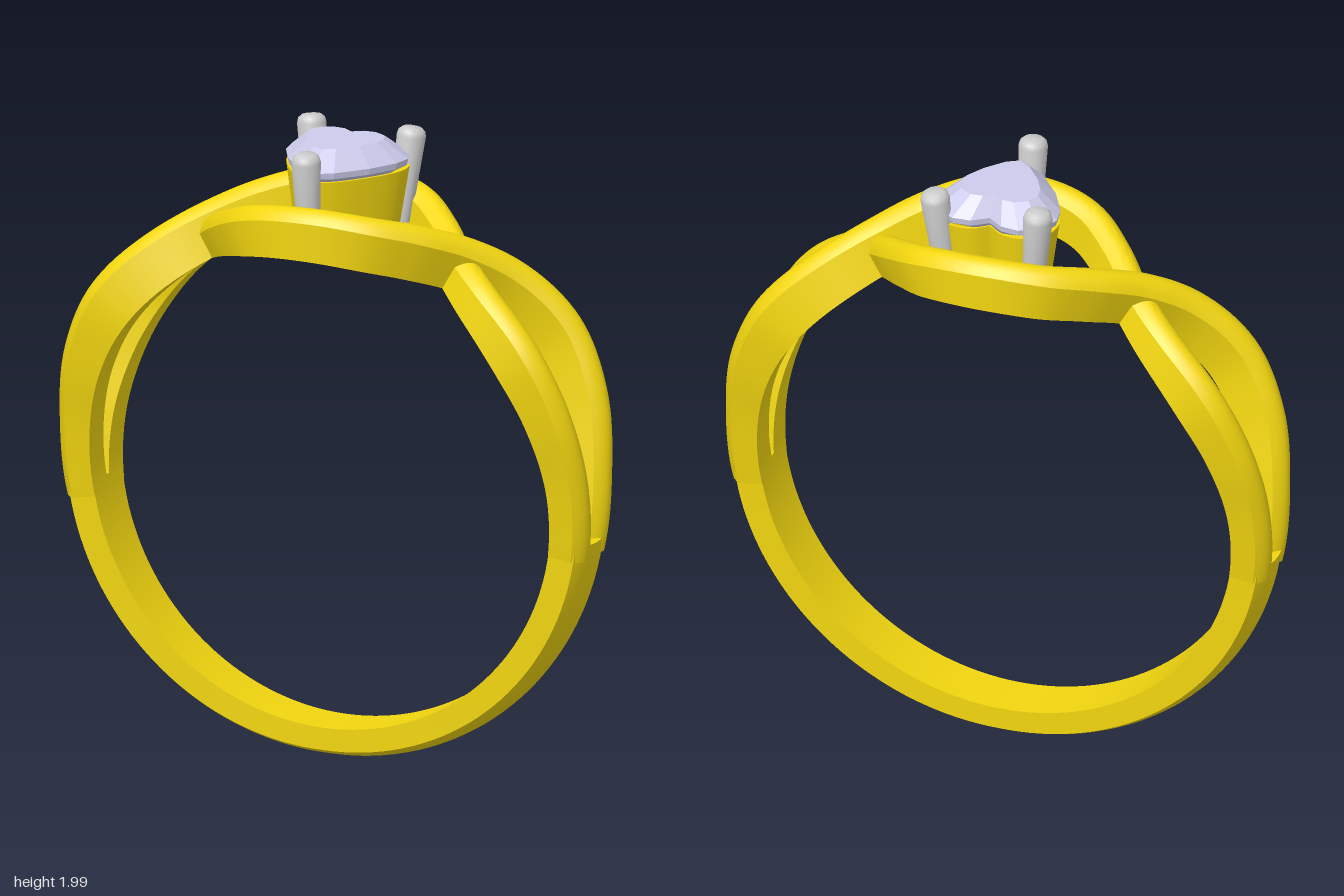
import * as THREE from 'three';
import { toCreasedNormals } from 'three/addons/utils/BufferGeometryUtils.js';

const CENTER_Y = 0.89, INNER_R = 0.785, MID_R = 0.87;
const rad = THREE.MathUtils.degToRad;

const gold = new THREE.MeshStandardMaterial({ color: 0xf2d60f });
const grey = new THREE.MeshStandardMaterial({ color: 0xcccccc });
const gemMaterial = new THREE.MeshStandardMaterial({ color: 0xccccec, flatShading: true });

// Skin over rows of points; every row is a closed loop
function skin(rows, crease = 0.6) {
  const n = rows[0].length, index = [];
  for (let i = 0; i < rows.length - 1; i++) {
    for (let j = 0; j < n; j++) {
      const k = (j + 1) % n;
      const a = i * n + j, b = i * n + k, c = a + n, d = b + n;
      index.push(a, b, d, a, d, c);
    }
  }
  const g = new THREE.BufferGeometry();
  g.setAttribute('position', new THREE.Float32BufferAttribute(rows.flat(2), 3));
  g.setIndex(index);
  return toCreasedNormals(g, crease);
}

// Domed bar bent round the finger; at(t) gives angle, z, outer radius, half width
function bar(at, steps, dome) {
  const rows = [];
  const place = (phi, r, z) => [r * Math.sin(phi), CENTER_Y + r * Math.cos(phi), z];
  for (let i = 0; i <= steps; i++) {
    const t = i / steps, p = at(t);
    const p0 = at(Math.max(0, t - 0.004)), p1 = at(Math.min(1, t + 0.004));
    const dir = new THREE.Vector2((p1.phi - p0.phi) * MID_R, p1.z - p0.z).normalize();
    const point = (s, r) => place(p.phi - (s * dir.y) / MID_R, r, p.z + s * dir.x);
    const row = [];
    for (let k = 0; k <= 10; k++) {
      const u = k / 5 - 1;
      row.push(point(u * p.w, p.outer - dome * u * u));
    }
    row.push(point(p.w, INNER_R), point(-p.w, INNER_R));
    const cap = row.map(() => point(0, (INNER_R + p.outer) / 2));
    if (i === 0) rows.push(cap);
    rows.push(row);
    if (i === steps) rows.push(cap);
  }
  return skin(rows);
}

// Heart outline, mirrored from its right half, as [x, z] from the tip round
function heart(half, samples) {
  let pts = half;
  if (samples) {
    const curve = new THREE.CatmullRomCurve3(half.map(([x, z]) => new THREE.Vector3(x, 0, z)));
    pts = curve.getPoints(samples).map((p) => [p.x, p.z]);
  }
  return [...pts, ...pts.slice(1, -1).reverse().map(([x, z]) => [-x, z])];
}

// Loft of one outline through [scale, y] steps
function loft(outline, profile) {
  const cz = -0.03;
  return profile.map(([s, y]) => outline.map(([x, z]) => [x * s, y, cz + (z - cz) * s]));
}

function mesh(name, geometry, material) {
  const m = new THREE.Mesh(geometry, material);
  m.name = name;
  return m;
}

export function createModel() {
  const ring = new THREE.Group();
  ring.name = 'ring';

  // Lower band
  ring.add(mesh('shank', bar((t) => {
    const side = Math.abs(2 * t - 1);
    return {
      phi: rad(96 + 168 * t), z: 0,
      outer: 0.885 + 0.015 * side, w: 0.085 + 0.021 * side ** 2,
    };
  }, 72, 0.028), gold));

  // Two woven strands: [angle, z, radius where it runs over, radius where it runs under]
  const path = [
    [0, 0.257, 0.942, 0.942], [12, 0.218, 0.946, 0.935], [21, 0.122, 0.95, 0.918],
    [30, 0, 0.952, 0.905], [40, -0.093, 0.955, 0.915], [53, -0.139, 0.958, 0.93],
    [67, -0.124, 0.938, 0.92], [83, -0.085, 0.908, 0.905], [99, -0.056, 0.899, 0.899],
  ];
  const curve = new THREE.CatmullRomCurve3([
    ...path.slice(1).reverse().map(([a, z, , under]) => new THREE.Vector3(rad(-a), z, under)),
    ...path.map(([a, z, over]) => new THREE.Vector3(rad(a), z, over)),
  ]);
  const strandGeometry = bar((t) => {
    const p = curve.getPoint(t);
    return { phi: p.x, z: p.y, outer: p.z, w: 0.051 };
  }, 128, 0.036);
  ['frontStrand', 'backStrand'].forEach((name, i) => {
    const strand = mesh(name, strandGeometry, gold);
    strand.rotation.y = i * Math.PI;
    ring.add(strand);
  });

  // Heart-shaped cup with a recessed floor
  const half = [
    [0, 0.18], [0.06, 0.145], [0.14, 0.05], [0.19, -0.04], [0.2, -0.1],
    [0.175, -0.165], [0.11, -0.2], [0.05, -0.195], [0, -0.16],
  ];
  ring.add(mesh('basket', skin(loft(heart(half, 32), [
    [0, 1.75], [0.62, 1.75], [0.62, 1.69], [0.84, 1.69],
    [0.99, 1.89], [0.93, 1.89], [0.35, 1.785], [0, 1.77],
  ])), gold));

  // Faceted heart stone
  ring.add(mesh('gem', skin(loft(heart(half), [
    [0, 1.79], [0.98, 1.9], [1, 1.92], [0.64, 1.98], [0, 1.98],
  ]), 0.05), gemMaterial));

  // Three leaning prongs with rounded tips
  const prongs = [
    [new THREE.Vector3(0, 1.7, 0.195), new THREE.Vector3(0, 1.997, 0.222)],
    [new THREE.Vector3(0.145, 1.7, -0.16), new THREE.Vector3(0.173, 1.997, -0.19)],
    [new THREE.Vector3(-0.145, 1.7, -0.16), new THREE.Vector3(-0.173, 1.997, -0.19)],
  ];
  const up = new THREE.Vector3(0, 1, 0);
  prongs.forEach(([base, tip], i) => {
    const len = base.distanceTo(tip);
    const profile = [
      [0, 0], [0.034, 0], [0.046, len - 0.028], [0.042, len - 0.012], [0.03, len - 0.002], [0, len],
    ].map(([x, y]) => new THREE.Vector2(x, y));
    const prong = mesh(['frontProng', 'backLeftProng', 'backRightProng'][i],
      toCreasedNormals(new THREE.LatheGeometry(profile, 24), 0.7), grey);
    prong.position.copy(base);
    prong.quaternion.setFromUnitVectors(up, tip.clone().sub(base).normalize());
    ring.add(prong);
  });

  return ring;
}
